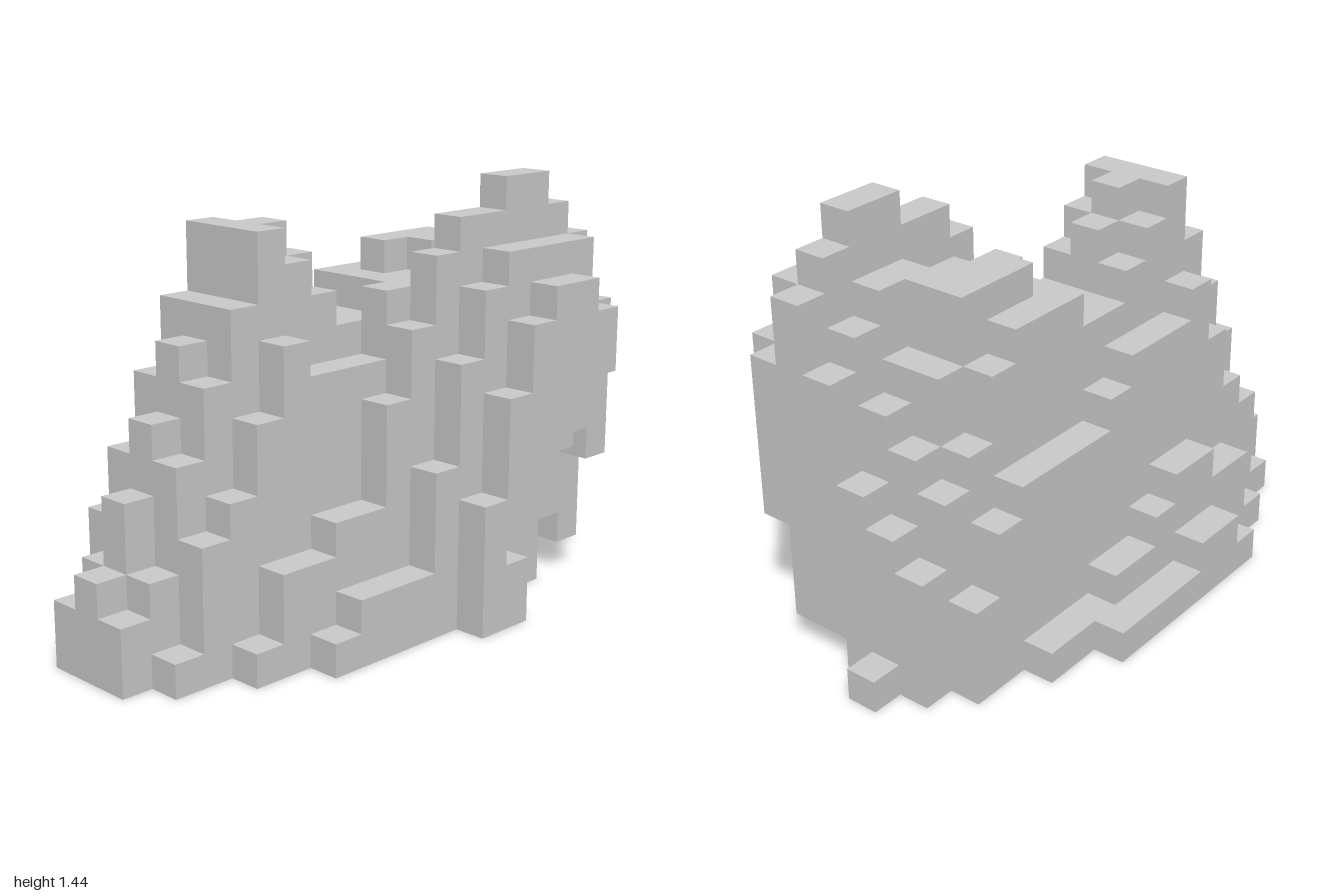
import * as THREE from 'three';

const U = 1 / 9; // edge length of one block

// Front ridgelines as [z, height] points; mirrored about the middle slice.
const FRONT = [
  [[8, 3], [5, 9], [4, 10], [3, 12], [2, 12], [0, 9]],
  [[8, 2], [7, 3], [6, 6], [3, 12], [0, 9]],
  [[7, 1], [6, 4], [5, 5], [3, 9], [2, 8], [0, 8]],
  [[5, 1], [4, 3], [3, 3], [2, 4], [1, 4]],
  [[3, 1], [2, 2], [1, 2]],
  [],
];

// Back ridgelines, one for each slice from right (-x) to left (+x).
const BACK = [
  [[0, 1], [-3, 1]],
  [[0, 2.6], [-5, 0.6]],
  [[-1, 7], [-2, 6], [-5, 6], [-7, 3]],
  [[-3, 10], [-4, 10], [-8, 4]],
  [[-1, 9], [-3, 11], [-5, 11], [-8, 5], [-9, 1]],
  [[-1, 9], [-4, 11], [-5, 11], [-8, 6]],
  [[-1, 10], [-4, 10], [-5, 11.4], [-8, 9]],
  [[0, 7], [-2, 11], [-5, 13], [-6, 13], [-8, 11]],
  [[0, 2], [-3, 10.4], [-7, 11], [-8, 9]],
  [[-2, 4], [-4, 9], [-5.5, 10.2], [-7, 9]],
];

// Stepped undersides of the overhang at the left rear, by slice.
const FLOOR = {
  6: (z) => (z <= -7 ? 1 : 0),
  7: (z) => (z <= -7 ? z + 9 : 0),
  8: (z) => (z === -8 ? 4 : z <= -3 ? Math.min(5, -z) : 0),
  9: (z) => (z <= -3 ? -z : 0),
};

// Height of the ridgeline at z, rounded to whole blocks.
function topAt(points, z) {
  const i = Math.max(1, points.findIndex((p) => p[0] <= z));
  const [z0, h0] = points[i - 1], [z1, h1] = points[i];
  return Math.round(THREE.MathUtils.mapLinear(z, z0, z1, h0, h1));
}

// Extrude a closed stepped outline: tops towards the front, floors back again.
function sliceGeometry(points, floorAt) {
  const upper = [], lower = [];
  for (let z = points.at(-1)[0]; z <= points[0][0]; z++) {
    const top = topAt(points, z) * U, floor = floorAt(z) * U;
    for (const edge of [z, z + 1]) {
      upper.push(new THREE.Vector2(-edge * U, top));
      lower.unshift(new THREE.Vector2(-edge * U, floor));
    }
  }
  // Drop doubled corners where neighbouring cells share a height
  const outline = [...upper, ...lower].filter((p, i, all) => i === 0 || !p.equals(all[i - 1]));
  return new THREE.ExtrudeGeometry(new THREE.Shape(outline), { depth: U, bevelEnabled: false })
    .rotateY(Math.PI / 2);
}

export function createModel() {
  const model = new THREE.Group();
  model.name = 'blockRock';
  const stone = new THREE.MeshStandardMaterial({ color: 0xcccccc, flatShading: true });

  // Body of the rock
  BACK.forEach((back, i) => {
    const points = [...FRONT[Math.abs(i - 4)], ...back];
    const mesh = new THREE.Mesh(sliceGeometry(points, FLOOR[i] ?? (() => 0)), stone);
    mesh.name = `rockSlice${i + 1}`;
    mesh.position.x = (i - 5) * U;
    model.add(mesh);
  });

  // Low toe below the overhang
  const toe = new THREE.Mesh(new THREE.BoxGeometry(2 * U, 2 * U, U), stone);
  toe.name = 'overhangToe';
  toe.position.set(4 * U, U, -2.5 * U);
  model.add(toe);

  return model;
}
